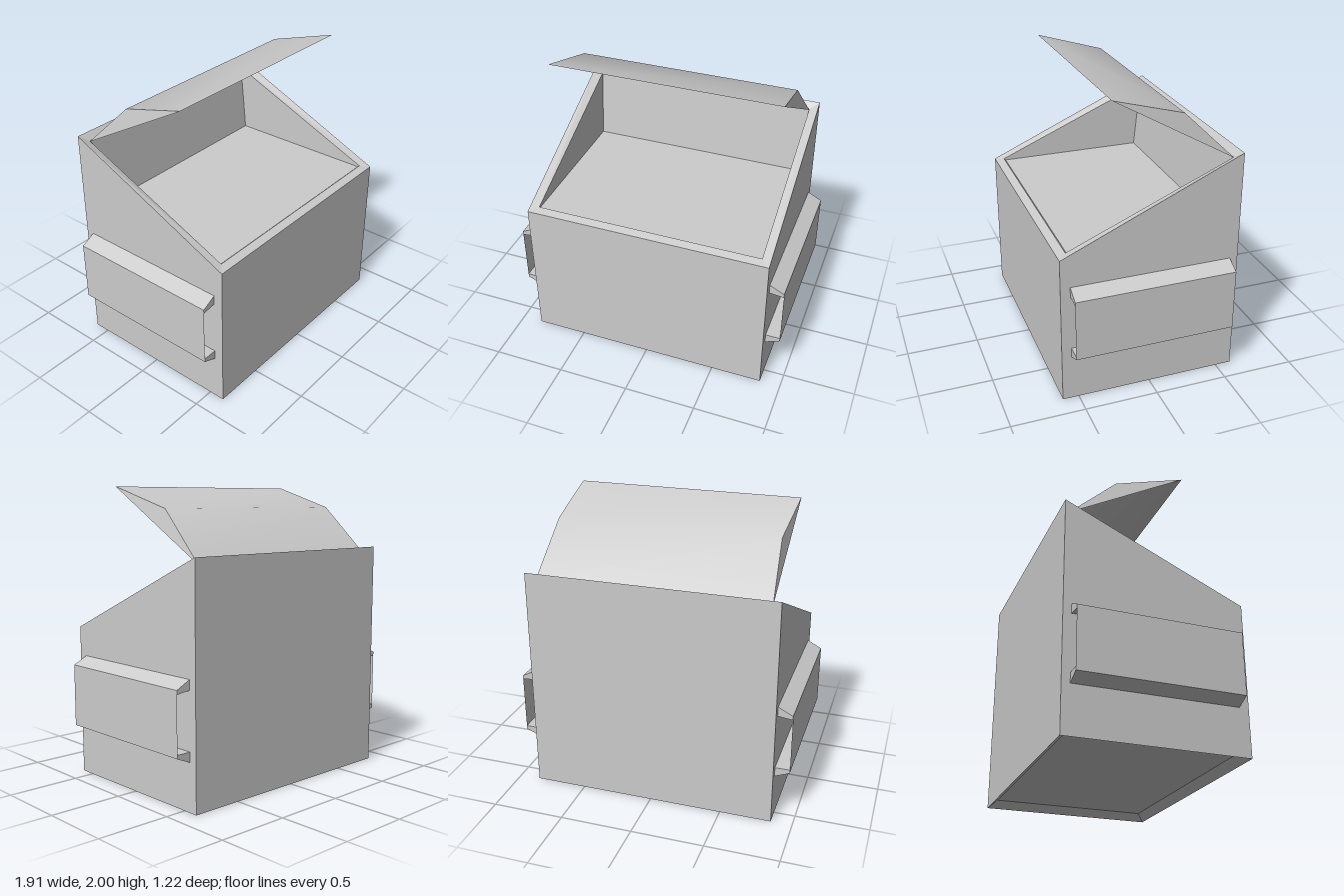
import * as THREE from 'three';
import { toCreasedNormals } from 'three/addons/utils/BufferGeometryUtils.js';

const flatGrey = new THREE.MeshStandardMaterial({ color: 0xcccccc, flatShading: true, side: THREE.DoubleSide });
const sheetGrey = new THREE.MeshStandardMaterial({ color: 0xcccccc, side: THREE.DoubleSide });

function addMesh(parent, name, geometry, material) {
  const mesh = new THREE.Mesh(geometry, material);
  mesh.name = name;
  parent.add(mesh);
}

function geometryFrom(points, index) {
  const g = new THREE.BufferGeometry();
  g.setAttribute('position', new THREE.Float32BufferAttribute(points.flat(), 3));
  g.setIndex(index);
  return g;
}

// Rectangular ring: half width, front z and y, back z and y
const ring = (x, zf, yf, zb, yb) => [[x, yf, zf], [x, yb, zb], [-x, yb, zb], [-x, yf, zf]];

// Joins successive rings with quads and closes both ends
function loftRings(rings) {
  const index = [2, 1, 0, 3, 2, 0];
  for (let r = 0; r < rings.length - 1; r++) {
    for (let i = 0; i < 4; i++) {
      const a = r * 4 + i, b = r * 4 + (i + 1) % 4;
      index.push(a, b, b + 4, a, b + 4, a + 4);
    }
  }
  const e = (rings.length - 1) * 4;
  index.push(e, e + 1, e + 2, e, e + 2, e + 3);
  const g = geometryFrom(rings.flat(), index).toNonIndexed();
  g.computeVertexNormals();
  return g;
}

// Open-ended fork sleeve on the +x side: two wedge rails and a thin outer plate
function makeSleeve(name) {
  const sleeve = new THREE.Group();
  sleeve.name = name;
  const length = 1.1;
  const rails = {
    upperRail: [[0.855, 0.775], [0.955, 0.763], [0.955, 0.79], [0.855, 0.842]],
    lowerRail: [[0.855, 0.323], [0.955, 0.365], [0.955, 0.39], [0.855, 0.39]],
  };
  for (const [railName, profile] of Object.entries(rails)) {
    const shape = new THREE.Shape(profile.map(([x, y]) => new THREE.Vector2(x, y)));
    const g = new THREE.ExtrudeGeometry(shape, { depth: length, bevelEnabled: false });
    g.translate(0, 0, -length / 2);
    addMesh(sleeve, railName, g, flatGrey);
  }
  const plate = new THREE.PlaneGeometry(length, 0.425);
  plate.rotateY(Math.PI / 2);
  plate.translate(0.955, 0.5775, 0);
  addMesh(sleeve, 'sleevePlate', plate, sheetGrey);
  sleeve.position.z = -0.005;
  return sleeve;
}

export function createModel() {
  const model = new THREE.Group();
  model.name = 'wasteContainer';

  // Body: chamfered recess underneath, walls, sloping rim, shallow inside
  addMesh(model, 'body', loftRings([
    ring(0.798, 0.553, 0.05, -0.553, 0.05),
    ring(0.855, 0.61, 0, -0.61, 0),
    ring(0.855, 0.61, 1.04, -0.61, 1.58),
    ring(0.793, 0.553, 1.055, -0.57, 1.535),
    ring(0.793, 0.54, 1.043, -0.52, 1.043),
  ]), flatGrey);

  // Fork sleeves on both sides
  const left = makeSleeve('leftSleeve');
  const right = makeSleeve('rightSleeve');
  right.rotation.y = Math.PI;
  model.add(left, right);

  // Raised lid: bent sheet with folded triangular sides
  const lid = geometryFrom([
    [0.793, 1.53, -0.57], [-0.793, 1.53, -0.57], // hinge
    [0.765, 1.86, -0.23], [-0.765, 1.86, -0.23], // bend
    [0.79, 2, 0.25], [-0.79, 2, 0.25], // front edge
  ], [0, 1, 3, 0, 3, 2, 2, 3, 5, 2, 5, 4, 0, 2, 4, 1, 5, 3]);
  addMesh(model, 'lid', toCreasedNormals(lid, Math.PI / 3), sheetGrey);

  return model;
}
